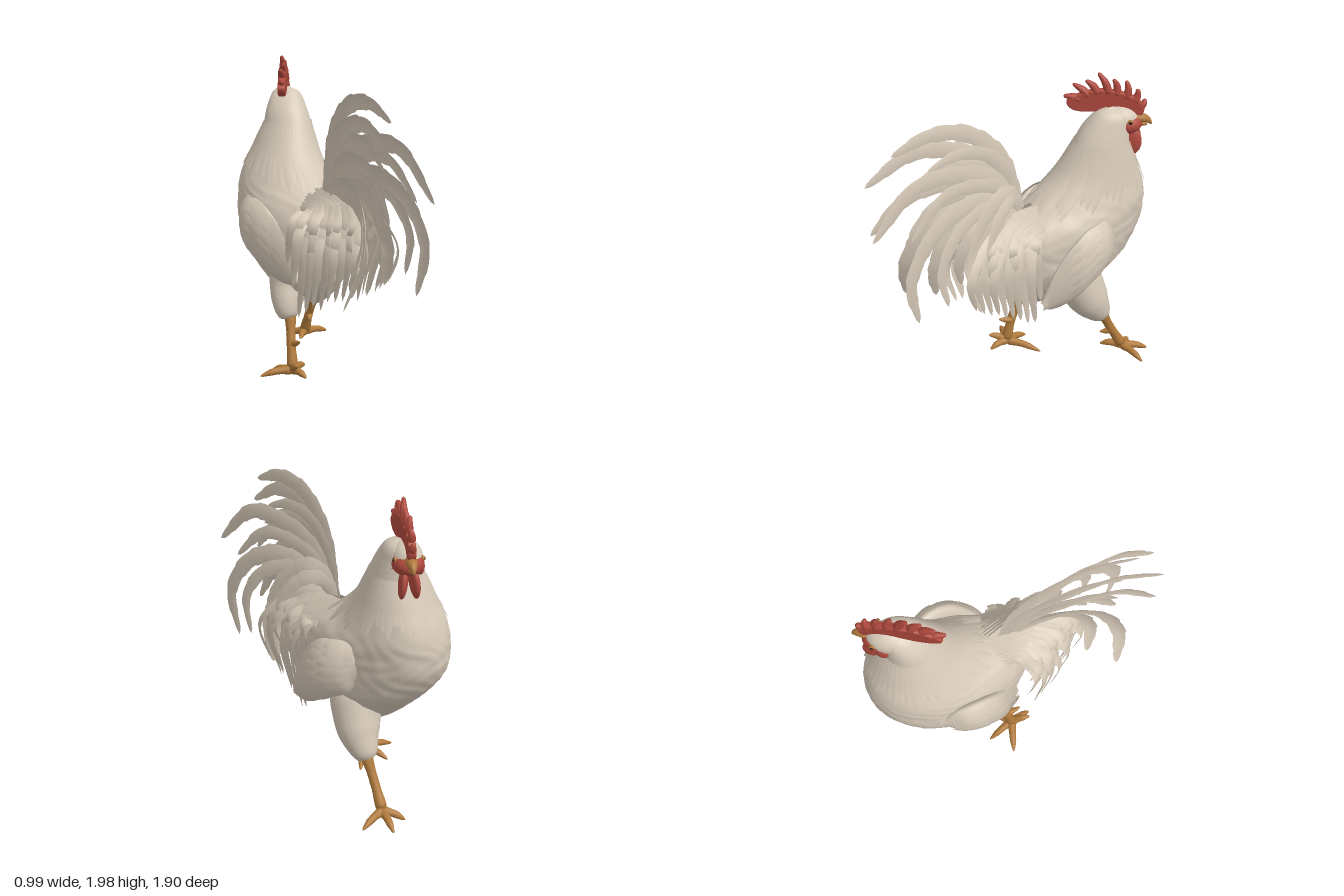
import * as THREE from 'three';

const V = (x, y, z) => new THREE.Vector3(x, y, z);
const mat = (name, color, side = THREE.FrontSide) => {
  const m = new THREE.MeshStandardMaterial({ color, side });
  m.name = name;
  return m;
};

// Grid surface: rows run along the part, columns run across or around it
function surface(rows, cols, fn, closed) {
  const pos = [], idx = [], w = closed ? cols : cols - 1;
  for (let i = 0; i < rows; i++) for (let j = 0; j < cols; j++) pos.push(...fn(i, j).toArray());
  for (let i = 0; i < rows - 1; i++) for (let j = 0; j < w; j++) {
    const k = (j + 1) % cols;
    const a = i * cols + j, b = a + cols, c = (i + 1) * cols + k, d = i * cols + k;
    idx.push(a, b, c, a, c, d);
  }
  const g = new THREE.BufferGeometry();
  g.setAttribute('position', new THREE.Float32BufferAttribute(pos, 3));
  g.setIndex(idx);
  g.computeVertexNormals();
  return g;
}

// Tapered round limb along a curve, with rounded ends
function limb(points, radii, rows = 18, cols = 12) {
  const curve = new THREE.CatmullRomCurve3(points);
  const f = curve.computeFrenetFrames(rows - 1);
  return surface(rows, cols, (i, j) => {
    const t = i / (rows - 1), s = t * (radii.length - 1), k = Math.min(Math.floor(s), radii.length - 2);
    const r = THREE.MathUtils.lerp(radii[k], radii[k + 1], s - k) * Math.sqrt(Math.max(0, 1 - Math.pow(Math.abs(2 * t - 1), 14)));
    const a = (j / cols) * Math.PI * 2;
    return curve.getPointAt(t).addScaledVector(f.normals[i], r * Math.cos(a)).addScaledVector(f.binormals[i], -r * Math.sin(a));
  }, true);
}

// Curved blade with a raised shaft and notched edges; n is the direction its face looks
function feather(points, width, n, notches = 7, rows = 30) {
  const curve = new THREE.CatmullRomCurve3(points);
  return surface(rows, 3, (i, j) => {
    const t = i / (rows - 1);
    const side = curve.getTangentAt(t).cross(n).normalize();
    const w = width * 0.5 * (0.45 + 0.55 * THREE.MathUtils.smoothstep(t, 0, 0.4)) * Math.sqrt(1 - t ** 3);
    const notch = notches ? 0.8 + 0.2 * ((t * notches) % 1) : 1;
    const p = curve.getPointAt(t).addScaledVector(side, (j - 1) * w * notch);
    return j === 1 ? p.addScaledVector(n, w * 0.2) : p;
  }, false);
}

// Body sections: [height, front z, back z, centre x, half width]
const SECTIONS = [
  [1.79, -0.69, -0.64, 0.11, 0.01], [1.75, -0.77, -0.57, 0.11, 0.09], [1.66, -0.78, -0.50, 0.09, 0.135],
  [1.55, -0.79, -0.44, 0.08, 0.165], [1.4, -0.86, -0.36, 0.06, 0.21], [1.3, -0.91, -0.29, 0.04, 0.25],
  [1.2, -0.94, -0.18, 0.03, 0.285], [1.1, -0.95, 0, 0.02, 0.305], [1.0, -0.94, 0.08, 0.01, 0.315],
  [0.9, -0.89, 0.09, 0, 0.315], [0.8, -0.81, 0.08, 0, 0.3], [0.7, -0.71, 0.05, -0.02, 0.265],
  [0.6, -0.6, 0, -0.03, 0.2], [0.53, -0.5, -0.08, -0.03, 0.13], [0.49, -0.3, -0.27, -0.03, 0.01],
];
const ends = new THREE.CatmullRomCurve3(SECTIONS.map(s => V(s[1], s[0], s[2])));
const widths = new THREE.CatmullRomCurve3(SECTIONS.map(s => V(s[3], s[0], s[4])));
function bodyPoint(t, a, grow = 0) {
  const e = ends.getPoint(t), w = widths.getPoint(t);
  const c = Math.cos(a), z = (e.x + e.z) / 2 + ((e.z - e.x) / 2 + grow) * c;
  const egg = 1 - 0.18 * c;
  return V(w.x + (w.z + grow) * egg * Math.sin(a) - 0.12 * (z + 0.43), e.y, z);
}

// Wing sections from shoulder to tip: centre (x, y, z) and half height
const wingLine = new THREE.CatmullRomCurve3([V(0.3, 1, -0.57), V(0.32, 0.985, -0.47), V(0.33, 0.95, -0.33), V(0.315, 0.88, -0.2), V(0.27, 0.77, -0.09), V(0.225, 0.65, 0)]);
const wingHalf = new THREE.SplineCurve([0.02, 0.135, 0.185, 0.18, 0.125, 0.03].map((h, i) => new THREE.Vector2(i, h)));
function wingPoint(u, a, lift = 0) {
  const c = wingLine.getPoint(u), h = wingHalf.getPoint(u).y;
  return V(c.x + (0.3 * Math.min(h, 0.18) + 0.008 + lift) * Math.cos(a), c.y - h * Math.sin(a), c.z);
}

export function createModel() {
  const root = new THREE.Group();
  root.name = 'rooster';
  const cream = mat('cream plumage', 0xd6c9b8);
  const plume = mat('cream feathers', 0xd4c7b6, THREE.DoubleSide);
  const red = mat('red skin', 0xae493d);
  const horn = mat('golden brown horn', 0xb07a3c);
  const dark = mat('dark eye', 0x2a1a12);
  const add = (parent, name, geo, material) => {
    const m = new THREE.Mesh(geo, material);
    m.name = name;
    parent.add(m);
    return m;
  };
  const ball = (parent, name, material, p, s) => {
    const m = add(parent, name, new THREE.SphereGeometry(1, 24, 16), material);
    m.position.set(...p);
    m.scale.set(...s);
    return m;
  };
  const group = name => {
    const g = new THREE.Group();
    g.name = name;
    root.add(g);
    return g;
  };

  // Body and neck, softly dimpled on the breast
  add(root, 'body', surface(100, 80, (i, j) => {
    const t = i / 99, a = (j / 80) * Math.PI * 2;
    const dimple = 0.004 * Math.sin(a * 15 + 1.5 * Math.sin(i * 0.35)) * Math.sin(i * 0.7 + 2 * Math.sin(a * 5)) * THREE.MathUtils.smoothstep(t, 0.35, 0.5);
    return bodyPoint(t, a, dimple);
  }, true), cream);

  // Hackle: pointed feathers hanging round the neck
  const hackle = group('hackle');
  for (let i = 0; i < 44; i++) {
    const a = (i / 44) * Math.PI * 2, drop = 0.025 * (i % 3) + 0.05 * Math.cos(a) - 0.03;
    const pts = [0.2, 0.3, 0.4 + drop].map((t, k) => bodyPoint(t, a, 0.002 + 0.005 * k));
    add(hackle, 'hackleFeather', feather(pts, 0.06, V(Math.sin(a), 0.2, Math.cos(a)).normalize(), 0, 12), plume);
  }

  // Tail: long sickle feathers, each given as tip x and a (z, y) path, with a shorter one beside it
  const tail = group('tail');
  const sickles = [
    [-0.31, [0.03, 1.58, 0.22, 1.78, 0.46, 1.83, 0.71, 1.75]],
    [-0.42, [0.05, 1.5, 0.25, 1.66, 0.53, 1.71, 0.83, 1.55]],
    [-0.21, [0.07, 1.44, 0.3, 1.56, 0.64, 1.58, 0.95, 1.31]],
    [-0.42, [0.08, 1.38, 0.3, 1.47, 0.58, 1.44, 0.81, 1.22]],
    [-0.1, [0.08, 1.32, 0.34, 1.38, 0.6, 1.28, 0.77, 1.02, 0.72, 0.71]],
    [-0.49, [0.06, 1.27, 0.3, 1.29, 0.48, 1.18, 0.57, 0.94, 0.51, 0.65]],
    [-0.25, [0.05, 1.3, 0.25, 1.33, 0.47, 1.23, 0.66, 0.95]],
    [0.0, [0.0, 1.34, 0.1, 1.37, 0.25, 1.28, 0.4, 1.05]],
    [-0.32, [0.04, 1.22, 0.22, 1.22, 0.38, 1.1, 0.45, 0.9, 0.4, 0.67]],
    [0.03, [0.03, 1.24, 0.16, 1.25, 0.32, 1.1, 0.38, 0.9, 0.33, 0.67]],
  ];
  const tailRoot = V(-0.06, 1.12, -0.12);
  for (const [tipX, p] of sickles) {
    const pts = [tailRoot], n = p.length / 2;
    for (let k = 0; k < n; k++) pts.push(V(-0.06 + (tipX + 0.06) * ((k + 1) / n) ** 1.1, p[2 * k + 1], p[2 * k]));
    const chord = pts[n].clone().sub(tailRoot);
    const facing = V(chord.z, 0.12, -chord.x).normalize();
    add(tail, 'sickleFeather', feather(pts, 0.135, facing, 9, 44), plume);
    const shorter = pts.map((q, k) => q.clone().lerp(tailRoot, 0.2).add(V(0.015 * k, 0, 0)));
    add(tail, 'tailFeather', feather(shorter, 0.11, facing, 7, 36), plume);
  }

  // Saddle: feathers flowing back over the rump and drooping on both sides
  const saddle = group('saddle');
  for (const s of [-1, 1]) for (let row = 0; row < 3; row++) for (let i = 0; i < 9; i++) {
    const f = i / 8, wave = Math.sin(i * 2.4 + row * 1.7 + s);
    const z = 0.35 - 0.37 * f - 0.05 * row + 0.02 * wave, y = 0.67 - 0.19 * f + 0.15 * row + 0.03 * wave;
    const out = 0.09 + 0.14 * f + 0.02 * wave + (s < 0 ? 0.05 : 0);
    const pts = [
      V(-0.03 + s * 0.17 * f, 1.2 - 0.1 * f * f, -0.24),
      V(-0.05 + s * (0.05 + 0.13 * f), 1.18 - 0.07 * f, z * 0.5 - 0.03),
      V(-0.07 + s * (out + 0.01), 0.93 + 0.07 * row, z + 0.06),
      V(-0.08 + s * out, y, z),
    ];
    add(saddle, 'saddleFeather', feather(pts, 0.075, V(s, 0.4, 0.4 + 0.2 * wave).normalize(), 5, 24), plume);
  }

  // Wings: folded against the body, with three overlapping rows of feathers
  for (const s of [-1, 1]) {
    const wing = group(s > 0 ? 'leftWing' : 'rightWing');
    wing.scale.x = s;
    if (s < 0) {
      wing.position.set(-0.04, 0, -0.08);
      wing.rotation.y = -0.15;
    }
    add(wing, 'foldedWing', surface(30, 28, (i, j) => wingPoint(i / 29, (j / 28) * Math.PI * 2), true), cream);
    [[0.42, 1, 0.085], [0.3, 0.76, 0.085], [0.14, 0.5, 0.085]].forEach(([from, to, width], row) => {
      for (let i = 0; i < 7; i++) {
        const a = -1.1 + (2.2 * i) / 6, end = to - 0.06 * Math.abs(Math.sin(a)) - 0.03 * (i % 2);
        const pts = [0, 0.35, 0.7, 1].map(k => wingPoint(from + (end - from) * k, a, 0.002 + 0.02 * k + 0.002 * row));
        add(wing, 'wingFeather', feather(pts, width, V(Math.cos(a * 0.6), -Math.sin(a * 0.6), 0.2).normalize(), 0, 16), plume);
      }
    });
  }

  // Head, turned to the model's side; local +x points along the beak
  const head = group('head');
  head.position.set(0.105, 0, -0.67);
  head.rotation.y = Math.PI / 4;
  ball(head, 'skull', cream, [0.07, 1.69, 0], [0.135, 0.1, 0.095]);
  ball(head, 'face', red, [0.125, 1.672, 0], [0.1, 0.07, 0.093]);
  for (const s of [-1, 1]) {
    ball(head, 'eyeRing', horn, [0.145, 1.705, s * 0.079], [0.018, 0.017, 0.012]);
    ball(head, 'eye', dark, [0.147, 1.705, s * 0.086], [0.011, 0.011, 0.008]);
    ball(head, 'earlobe', red, [0.09, 1.635, s * 0.08], [0.04, 0.05, 0.025]);
    const wattle = ball(head, 'wattle', red, [0.155, 1.565, s * 0.032], [0.07, 0.095, 0.028]);
    wattle.rotation.set(s * -0.1, s * -0.15, 0.12);
  }
  add(head, 'upperBeak', limb([V(0.17, 1.7, 0), V(0.22, 1.705, 0), V(0.26, 1.69, 0), V(0.285, 1.66, 0)], [0.04, 0.034, 0.022, 0.004]), horn);
  add(head, 'lowerBeak', limb([V(0.17, 1.665, 0), V(0.22, 1.665, 0), V(0.26, 1.66, 0)], [0.03, 0.02, 0.005]), horn);

  // Comb: low ridge with finger-like spikes that sweep back; each spike is base and tip
  const ridge = new THREE.Shape();
  ridge.moveTo(0.2, 1.7);
  ridge.splineThru([[0.225, 1.77], [0.18, 1.83], [0.08, 1.87], [-0.05, 1.885], [-0.16, 1.86], [-0.24, 1.81], [-0.2, 1.765],
    [-0.1, 1.755], [0.05, 1.77], [0.2, 1.7]].map(p => new THREE.Vector2(...p)));
  const ridgeGeo = new THREE.ExtrudeGeometry(ridge, { depth: 0.022, bevelThickness: 0.012, bevelSize: 0.008, bevelSegments: 3, curveSegments: 40 });
  ridgeGeo.translate(0, 0, -0.011);
  add(head, 'combRidge', ridgeGeo, red);
  const spikes = [[0.2, 1.77, 0.235, 1.83], [0.17, 1.81, 0.185, 1.9], [0.12, 1.83, 0.115, 1.95], [0.06, 1.85, 0.035, 1.965],
    [0.01, 1.86, -0.06, 2], [-0.06, 1.86, -0.135, 1.955], [-0.11, 1.84, -0.215, 1.925], [-0.16, 1.82, -0.27, 1.85]];
  spikes.forEach(([bx, by, tx, ty], i) => {
    const bend = V((bx + tx) / 2 + 0.012, (by + ty) / 2 + 0.004, 0);
    add(head, 'combSpike', limb([V(bx, by, 0), bend, V(tx, ty, i % 2 ? 0.008 : -0.008)], [0.03, 0.023, 0.01], 14, 10), red);
  });

  // Legs in mid stride: thigh, shank, toes and spur
  const legs = [
    { name: 'leftLeg', thigh: [V(0.06, 0.84, -0.36), V(0.15, 0.66, -0.4), V(0.21, 0.5, -0.46), V(0.25, 0.34, -0.56)], r: [0.14, 0.165, 0.13, 0.06],
      shank: [V(0.245, 0.4, -0.53), V(0.265, 0.24, -0.61), V(0.3, 0.07, -0.7)],
      toes: [V(0.5, 0.03, -0.69), V(0.4, 0.02, -0.85), V(0.24, 0.02, -0.83), V(0.18, 0.06, -0.61)], spur: V(0.22, 0.2, -0.56) },
    { name: 'rightLeg', thigh: [V(-0.1, 0.74, -0.34), V(-0.17, 0.57, -0.32), V(-0.225, 0.46, -0.28), V(-0.235, 0.37, -0.25)], r: [0.14, 0.14, 0.105, 0.055],
      shank: [V(-0.225, 0.43, -0.25), V(-0.265, 0.23, -0.2), V(-0.28, 0.07, -0.17)],
      toes: [V(-0.46, 0.04, -0.28), V(-0.29, 0.02, -0.36), V(-0.07, 0.02, -0.29), V(-0.34, 0.13, -0.06), V(-0.29, 0.05, -0.03)], spur: V(-0.28, 0.27, -0.1) },
  ];
  for (const L of legs) {
    const leg = group(L.name);
    add(leg, 'thigh', limb(L.thigh, L.r, 24, 24), cream);
    add(leg, 'shank', limb(L.shank, [0.042, 0.029, 0.029, 0.04]), horn);
    const foot = L.shank[2];
    for (const tip of L.toes) {
      const mid = foot.clone().lerp(tip, 0.55).add(V(0, 0.012, 0));
      add(leg, 'toe', limb([foot, mid, tip], [0.034, 0.024, 0.021, 0.006]), horn);
    }
    const base = L.shank[0].clone().lerp(foot, 0.55);
    add(leg, 'spur', limb([base, base.clone().lerp(L.spur, 0.5).add(V(0, -0.005, 0)), L.spur], [0.026, 0.02, 0.005]), horn);
  }
  return root;
}
